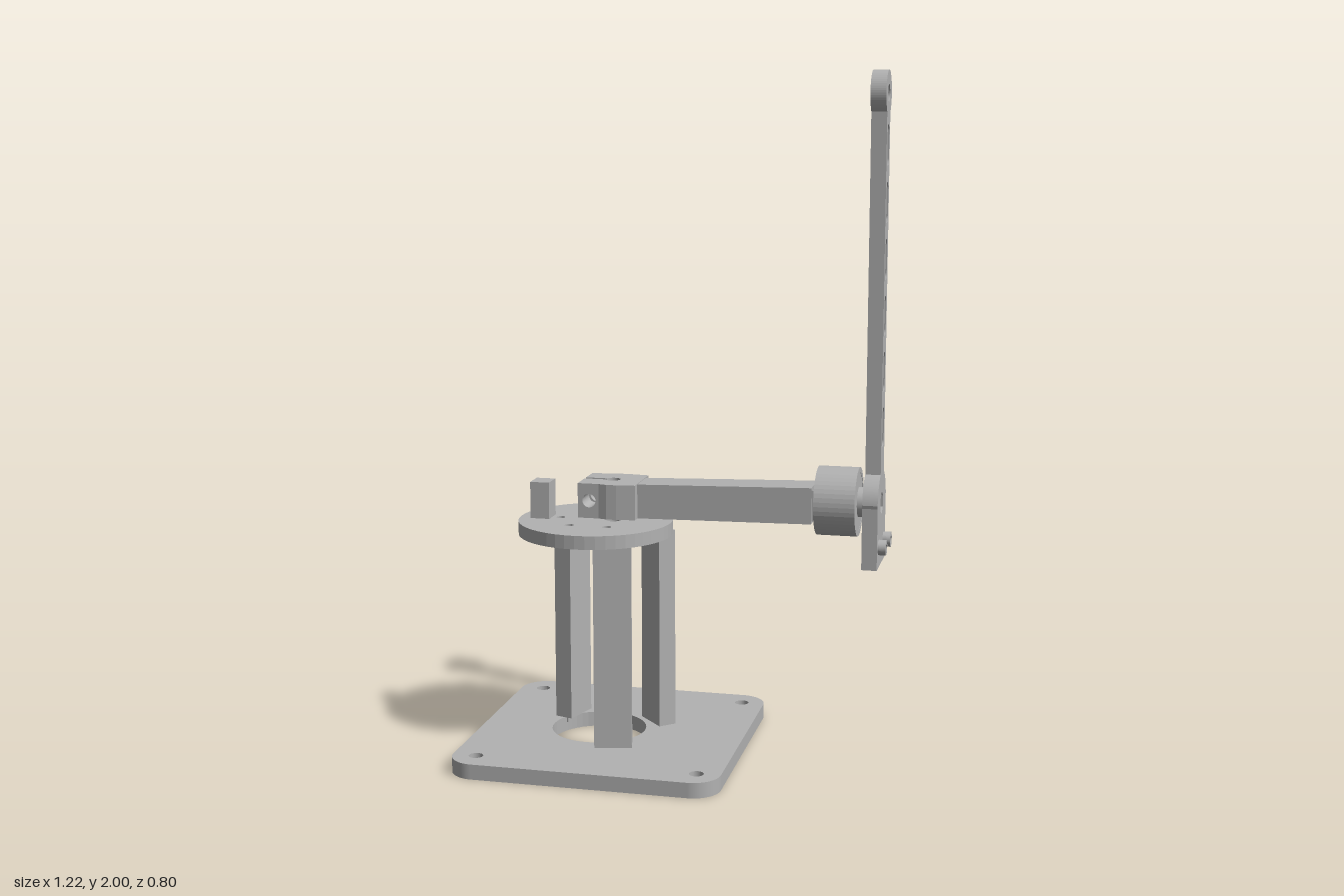
import * as THREE from 'three';

const grey = new THREE.MeshStandardMaterial({ color: 0xb2b2b2 });
grey.name = 'plain grey';

function circleHole(shape, x, y, r) {
  const p = new THREE.Path();
  p.absarc(x, y, r, 0, Math.PI * 2, true);
  shape.holes.push(p);
}

function extrude(shape, depth) {
  return new THREE.ExtrudeGeometry(shape, { depth, bevelEnabled: false, curveSegments: 24 });
}

export function createModel() {
  const group = new THREE.Group();
  const add = (name, geo, x = 0, y = 0, z = 0) => {
    const m = new THREE.Mesh(geo, grey);
    m.name = name;
    m.position.set(x, y, z);
    group.add(m);
    return m;
  };
  // Horizontal slab: shape drawn in x/z, from y0 up to y1
  const slab = (name, shape, y0, y1) =>
    add(name, extrude(shape, y1 - y0).rotateX(Math.PI / 2), 0, y1, 0);
  // Upright plate: shape drawn in -z/y, from x0 to x1
  const plate = (name, shape, x0, x1) =>
    add(name, extrude(shape, x1 - x0).rotateY(Math.PI / 2), x0, 0, 0);
  // Cylinder along x
  const rodX = (name, r, x0, x1, y, z, sides = 40) =>
    add(name, new THREE.CylinderGeometry(r, r, x1 - x0, sides).rotateZ(Math.PI / 2), (x0 + x1) / 2, y, z);

  // Base plate with rounded corners, bolt holes and central opening
  const base = new THREE.Shape();
  const [l, r, w, c] = [-0.61, 0.185, 0.4, 0.08];
  base.absarc(r - c, w - c, c, 0, Math.PI / 2);
  base.absarc(l + c, w - c, c, Math.PI / 2, Math.PI);
  base.absarc(l + c, -w + c, c, Math.PI, Math.PI * 1.5);
  base.absarc(r - c, -w + c, c, Math.PI * 1.5, Math.PI * 2);
  for (const x of [-0.54, 0.115]) for (const z of [-0.325, 0.325]) circleHole(base, x, z, 0.021);
  circleHole(base, -0.26, 0, 0.142);
  slab('basePlate', base, 0, 0.045);

  // Three upright posts around the middle, one a little shorter
  [[197, 0.07], [77, 0.045], [-43, 0.045]].forEach(([deg, y0]) => {
    const a = THREE.MathUtils.degToRad(deg);
    const post = add('post', new THREE.BoxGeometry(0.055, 0.65 - y0, 0.11),
      -0.21 + 0.15 * Math.cos(a), (0.65 + y0) / 2, 0.15 * Math.sin(a));
    post.rotation.y = -a;
  });
  add('postPin', new THREE.CylinderGeometry(0.004, 0.004, 0.03, 12), -0.368, 0.058, -0.03);

  // Round upper plate
  const disc = new THREE.Shape();
  disc.absarc(-0.266, 0, 0.23, 0, Math.PI * 2);
  for (const x of [-0.32, -0.206]) for (const z of [-0.098, 0.098]) circleHole(disc, x, z, 0.013);
  circleHole(disc, -0.375, 0, 0.013);
  circleHole(disc, -0.212, 0, 0.022);
  slab('upperPlate', disc, 0.65, 0.69);
  add('stopBlock', new THREE.BoxGeometry(0.058, 0.11, 0.066), -0.43, 0.745, 0);

  // Split clamp: collar with a slotted bore, and two drilled jaws
  const collar = new THREE.Shape();
  collar.moveTo(-0.235, 0.008);
  collar.lineTo(-0.235, 0.08);
  collar.lineTo(-0.21, 0.087);
  collar.lineTo(-0.18, 0.087);
  collar.lineTo(-0.125, 0.08);
  collar.lineTo(-0.125, -0.08);
  collar.lineTo(-0.18, -0.087);
  collar.lineTo(-0.21, -0.087);
  collar.lineTo(-0.235, -0.08);
  collar.lineTo(-0.235, -0.008);
  collar.absarc(-0.212, 0, 0.022, -Math.PI + 0.37, Math.PI - 0.37, false);
  slab('clampCollar', collar, 0.71, 0.813);
  const jaw = new THREE.Shape();
  jaw.moveTo(-0.298, 0.71);
  jaw.lineTo(-0.235, 0.71);
  jaw.lineTo(-0.235, 0.813);
  jaw.lineTo(-0.298, 0.813);
  circleHole(jaw, -0.264, 0.762, 0.02);
  for (const z of [0.008, -0.08]) add('clampJaw', extrude(jaw, 0.072), 0, 0, z);

  // Arm: box that rises and widens slightly towards the motor
  const arm = new THREE.BoxGeometry(1, 1, 1);
  const p = arm.attributes.position;
  for (let i = 0; i < p.count; i++) {
    const far = p.getX(i) > 0, up = p.getY(i) > 0;
    p.setXYZ(i, far ? 0.39 : -0.126,
      up ? (far ? 0.825 : 0.811) : (far ? 0.719 : 0.71),
      Math.sign(p.getZ(i)) * (far ? 0.057 : 0.052));
  }
  arm.computeVertexNormals();
  add('arm', arm);
  for (const z of [-0.045, 0.045]) add('armStrut', new THREE.BoxGeometry(0.08, 0.09, 0.012), 0.42, 0.772, z);

  // Small tube boss on the back of the arm
  const boss = new THREE.Shape();
  boss.absarc(0.132, -0.073, 0.036, 0, Math.PI * 2);
  circleHole(boss, 0.132, -0.073, 0.019);
  slab('tubeBoss', boss, 0.737, 0.783);

  // Motor: cup open towards the arm, then its hub
  const ring = new THREE.Shape();
  ring.absarc(0, 0.78, 0.1, 0, Math.PI * 2);
  circleHole(ring, 0, 0.78, 0.084);
  plate('motorShell', ring, 0.402, 0.52);
  rodX('motorCore', 0.084, 0.45, 0.519, 0.78, 0);
  rodX('motorHub', 0.043, 0.519, 0.542, 0.78, 0);

  // Long upright link with slots, end eye and rounded foot
  const link = new THREE.Shape();
  const foot = Math.asin(0.036 / 0.095), eye = Math.asin(0.036 / 0.063);
  link.moveTo(-0.092, 0.602);
  link.lineTo(0.092, 0.602);
  link.lineTo(0.092, 0.78);
  link.absarc(0, 0.78, 0.095, 0.1, Math.PI / 2 - foot);
  link.absarc(0, 1.937, 0.063, -Math.PI / 2 + eye, Math.PI * 1.5 - eye);
  link.absarc(0, 0.78, 0.095, Math.PI / 2 + foot, Math.PI - 0.1);
  link.lineTo(-0.092, 0.78);
  circleHole(link, 0, 1.937, 0.024);
  for (let i = 0; i < 6; i++) {
    const y = 1.0 + i * 0.159, s = new THREE.Path();
    s.absarc(0, y + 0.039, 0.018, 0, Math.PI);
    s.absarc(0, y - 0.039, 0.018, Math.PI, Math.PI * 2);
    link.holes.push(s);
  }
  const hex = new THREE.Path();
  for (let i = 0; i < 6; i++) {
    const a = Math.PI / 6 + i * Math.PI / 3;
    hex[i ? 'lineTo' : 'moveTo'](0.033 * Math.cos(a), 0.78 + 0.033 * Math.sin(a));
  }
  hex.closePath();
  link.holes.push(hex);
  plate('link', link, 0.541, 0.585);

  // Socket-head screws on the foot
  for (const z of [-0.055, 0.055]) {
    const head = new THREE.Shape();
    head.absarc(-z, 0.662, 0.022, 0, Math.PI * 2);
    circleHole(head, -z, 0.662, 0.011);
    plate('screwHead', head, 0.585, 0.607);
  }
  return group;
}
